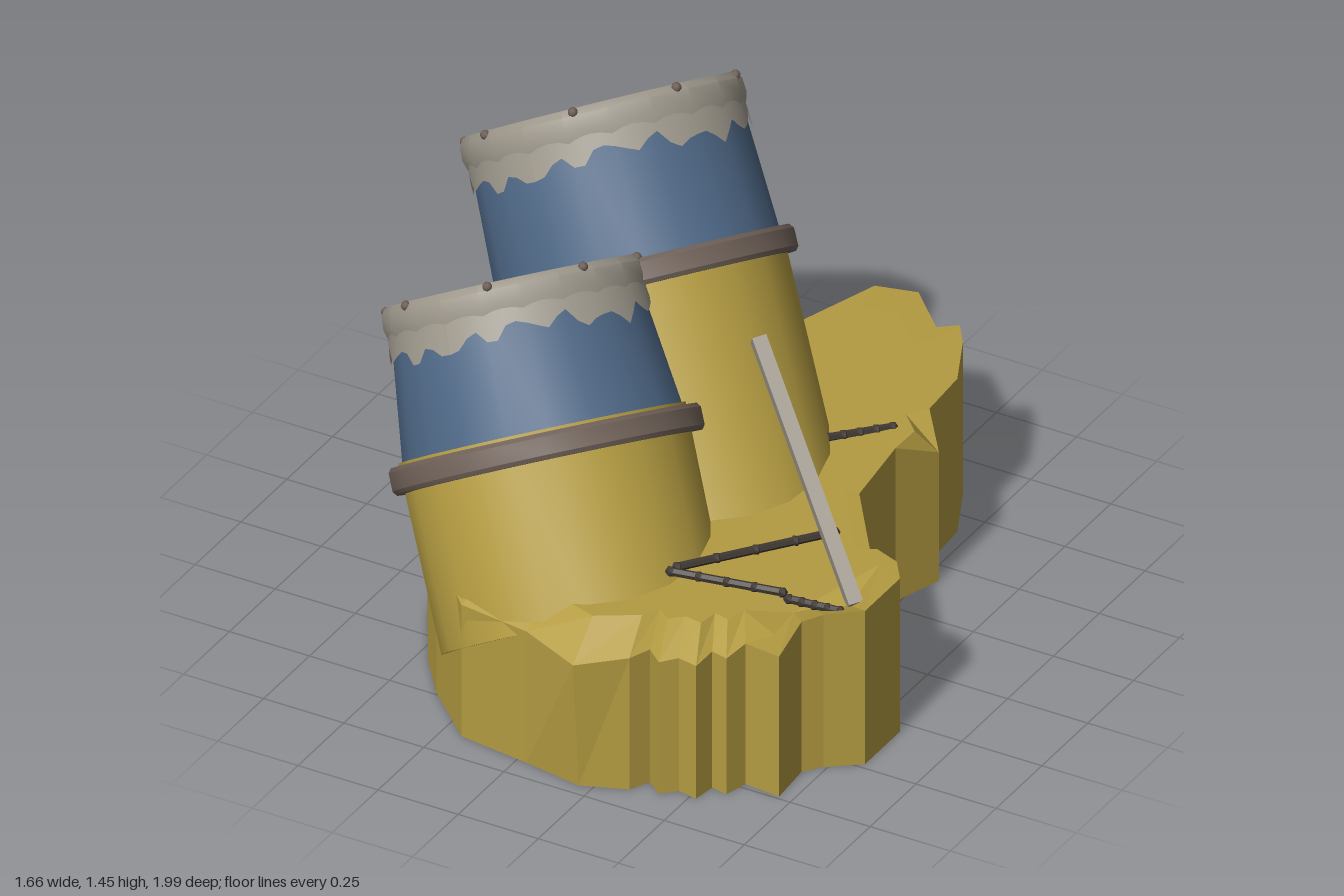
import * as THREE from 'three';
import { toCreasedNormals } from 'three/addons/utils/BufferGeometryUtils.js';

const mat = (name, color) => {
  const m = new THREE.MeshStandardMaterial({ color });
  m.name = name;
  return m;
};
const V = (x, y, z) => new THREE.Vector3(x, y, z);

export function createModel() {
  const ochre = mat('ochre rock', 0xb39b41);
  const blue = mat('blue paint', 0x4d6684);
  const pale = mat('pale rim', 0x9c968a);
  const taupe = mat('taupe band', 0x6e6057);
  const dark = mat('dark metal', 0x3f3833);
  const skirtMat = pale.clone();
  skirtMat.side = THREE.DoubleSide;
  const rock = ochre.clone();
  rock.flatShading = true;

  const model = new THREE.Group();
  const add = (parent, name, geo, material) => {
    const m = new THREE.Mesh(geo, material);
    m.name = name;
    parent.add(m);
    return m;
  };
  // profile of [radius, height] pairs, listed outside upward then inside downward
  const lathe = (profile, sides = 20) => toCreasedNormals(
    new THREE.LatheGeometry(profile.map(p => new THREE.Vector2(...p)), sides), 0.6);
  const rod = (parent, name, a, b, r, material, sides = 4) => {
    const d = b.clone().sub(a);
    const geo = toCreasedNormals(new THREE.CylinderGeometry(r, r, d.length(), sides), 0.5);
    const m = add(parent, name, geo, material);
    m.position.copy(a).add(b).multiplyScalar(0.5);
    m.quaternion.setFromUnitVectors(V(0, 1, 0), d.normalize());
    return m;
  };

  // ---- rocky base: wall, sloping shoulder and flat top ----
  const outline = [
    [-0.685, 0.03], [-0.66, 0.18], [-0.57, 0.42], [-0.46, 0.61], [-0.36, 0.74], [-0.19, 0.9], [0.03, 0.93],
    [0.21, 0.99], [0.34, 0.91], [0.37, 0.85], [0.42, 0.89], [0.46, 0.85], [0.52, 0.86], [0.53, 0.79],
    [0.58, 0.8], [0.6, 0.73], [0.71, 0.74], [0.7, 0.6], [0.74, 0.55], [0.83, 0.48], [0.83, 0.29],
    [0.78, 0.22], [0.72, 0.25], [0.52, -0.03], [0.49, -0.28], [0.54, -0.43], [0.47, -0.5], [0.46, -0.67],
    [0.38, -0.84], [0.33, -0.91], [0.28, -0.87], [0.15, -1], [0.03, -0.97], [-0.09, -0.61], [-0.14, -0.27],
    [-0.42, -0.12]];
  const n = outline.length, pos = [], idx = [];
  const rimY = (x, z) => 0.49 - 0.07 * THREE.MathUtils.smoothstep(z, 0.5, 0.92)
    - (z > 0.95 ? 0.02 : 0) - (x > 0.5 && z < -0.4 ? 0.08 : 0);
  outline.forEach(([x, z]) => pos.push(x, 0, z > 0.95 ? z - 0.03 : z));
  outline.forEach(([x, z]) => pos.push(x, rimY(x, z), z));
  const inset = outline.map(([x, z]) => [0.15 + (x - 0.15) * 0.88, z * 0.88]);
  // a shallow dent at the foot of the pole
  inset.forEach(([x, z]) => pos.push(x, x > 0.6 && z > 0.35 ? 0.45 : 0.492, z));
  for (let i = 0; i < n; i++) {
    const j = (i + 1) % n;
    for (const k of [0, n]) idx.push(k + i, k + j, k + n + j, k + i, k + n + j, k + n + i);
  }
  const cap = pts => THREE.ShapeUtils.triangulateShape(pts.map(([x, z]) => new THREE.Vector2(x, -z)), []);
  cap(inset).forEach(([a, b, c]) => idx.push(2 * n + a, 2 * n + b, 2 * n + c));
  cap(outline).forEach(([a, b, c]) => idx.push(c, b, a));
  let base = new THREE.BufferGeometry();
  base.setAttribute('position', new THREE.Float32BufferAttribute(pos, 3));
  base.setIndex(idx);
  base = base.toNonIndexed();
  base.computeVertexNormals();
  add(model, 'rockBase', base, rock);

  // ---- leaning barrels ----
  function barrel(name, top, ringCentre, rimR, length, floorMat, floorT, lip) {
    const g = new THREE.Group();
    g.name = name;
    const axis = top.clone().sub(ringCentre);
    const ringT = axis.length();
    g.position.copy(top);
    g.quaternion.setFromUnitVectors(V(0, 1, 0), axis.normalize());
    model.add(g);
    const innerR = rimR - 0.055, barT = 0.3;

    add(g, 'lowerBarrel', lathe([[0, -length], [0.397, -length], [0.402, -ringT + lip], [0.36, -ringT + lip]]), ochre);
    add(g, 'upperBarrel', lathe([[0.397, -ringT], [rimR - 0.02, -0.06], [innerR, -0.05], [innerR, -floorT - 0.02]]), blue);
    add(g, 'ring', lathe([[0.38, -ringT - 0.037], [0.428, -ringT - 0.037], [0.437, -ringT - 0.025],
      [0.437, -ringT + 0.025], [0.428, -ringT + 0.037], [0.38, -ringT + 0.037]], 22), taupe);
    add(g, 'rim', lathe([[rimR - 0.012, -0.1], [rimR, -0.06], [rimR - 0.003, -0.02], [rimR - 0.018, 0], [innerR + 0.005, 0],
      [innerR - 0.014, -0.02], [innerR - 0.014, -0.06], [innerR, -0.065]]), pale);

    // ragged lower edge of the pale paint
    const skirt = new THREE.CylinderGeometry(rimR, rimR, 0.1, 80, 1, true);
    const p = skirt.attributes.position;
    const slope = (0.397 - rimR + 0.02) / (ringT - 0.06);
    for (let i = 0; i < p.count; i++) {
      const a = Math.atan2(p.getZ(i), p.getX(i));
      const t = p.getY(i) > 0 ? 0.07
        : 0.145 + 0.02 * Math.sin(a * 17) + 0.014 * Math.sin(a * 4 + 1) + 0.008 * Math.sin(a * 27);
      const r = rimR - 0.011 + slope * (t - 0.06);
      p.setXYZ(i, Math.cos(a) * r, -t, Math.sin(a) * r);
    }
    skirt.computeVertexNormals();
    add(g, 'raggedPaint', skirt, skirtMat);

    // inner floor below a crown of short bars
    const floor = add(g, 'floor', new THREE.CircleGeometry(innerR + 0.005, 20), floorMat);
    floor.rotation.x = -Math.PI / 2;
    floor.position.y = -floorT;
    for (let i = 0; i < 18; i++) {
      const a = i / 18 * Math.PI * 2, c = Math.cos(a), s = Math.sin(a);
      rod(g, 'innerBar', V(c * (innerR - 0.09), -barT, s * (innerR - 0.09)),
        V(c * (innerR + 0.01), -barT + 0.04, s * (innerR + 0.01)), 0.014, dark);
    }
    // studs on the rim
    for (let i = 0; i < 8; i++) {
      const a = (i + 0.5) / 8 * Math.PI * 2;
      const stud = add(g, 'rimStud', new THREE.SphereGeometry(0.014, 8, 6), taupe);
      stud.position.set(Math.cos(a) * (rimR - 0.012), -0.01, Math.sin(a) * (rimR - 0.012));
    }
  }
  barrel('backBarrel', V(-0.495, 1.225, -0.385), V(-0.272, 0.84, -0.222), 0.397, 1.2, taupe, 0.4, 0);
  barrel('frontBarrel', V(-0.425, 1.012, 0.22), V(-0.215, 0.632, 0.39), 0.366, 0.95, ochre, 0.32, 0.046);

  // ---- leaning pole and loose rods on the ground ----
  rod(model, 'pole', V(0.765, 0.455, 0.42), V(0.265, 0.965, 0.075), 0.029, pale);
  const bars = [
    [V(0.3, 0.52, 0.58), V(0.575, 0.51, 0.2)],
    [V(0.3, 0.525, 0.615), V(0.6, 0.505, 0.53)],
    [V(0.62, 0.49, 0.53), V(0.75, 0.465, 0.48)],
    [V(0.31, 0.5, -0.22), V(0.43, 0.49, -0.37)]];
  bars.forEach(([a, b]) => {
    rod(model, 'groundRod', a, b, 0.012, dark, 6);
    // small collars along each rod
    for (let i = 0; i <= 4; i++) {
      const c = add(model, 'rodCollar', new THREE.IcosahedronGeometry(0.016, 0), dark);
      c.position.lerpVectors(a, b, i / 4);
    }
  });
  return model;
}
